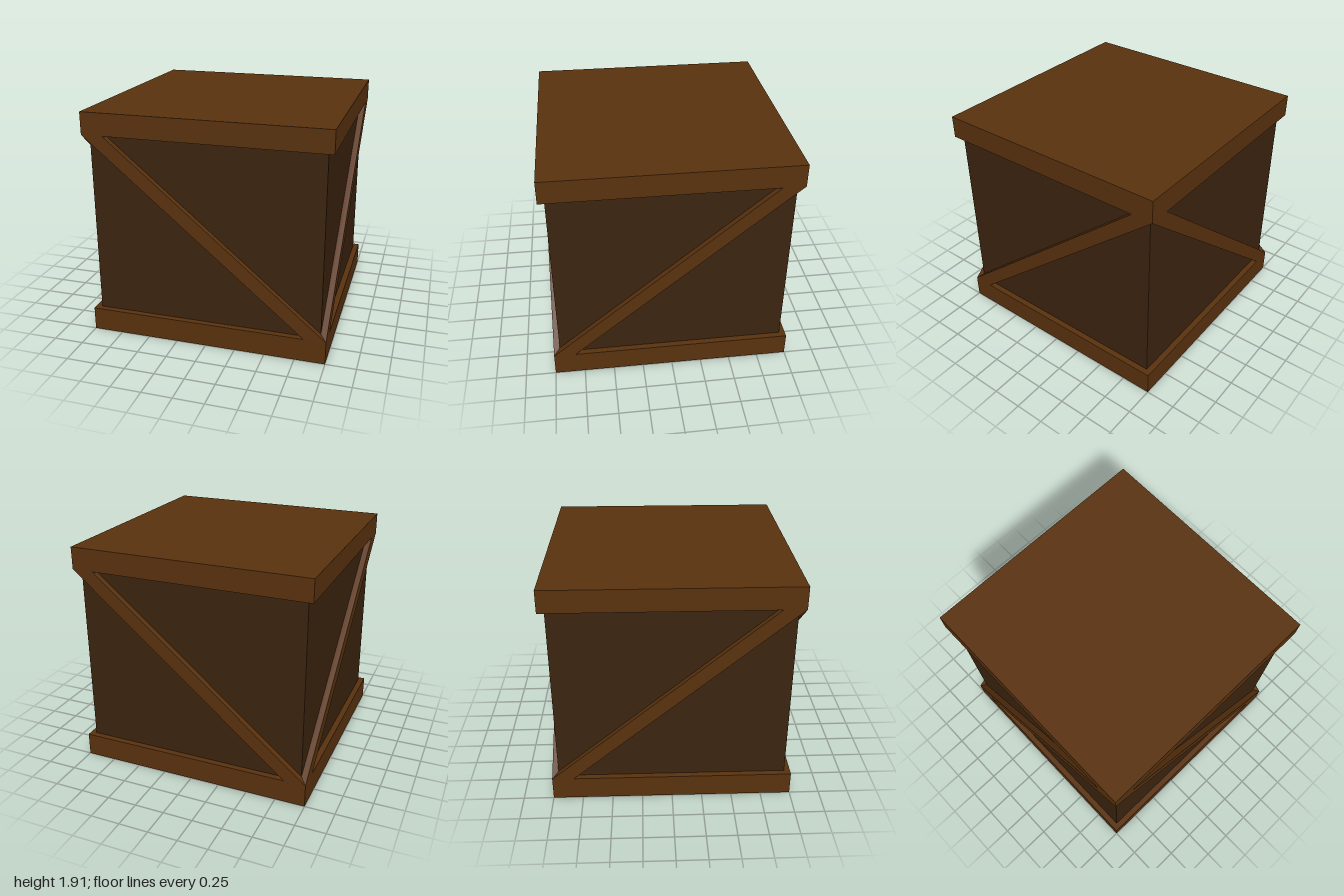
import * as THREE from 'three';

export function createModel() {
  const crate = new THREE.Group();
  crate.name = 'crate';
  const frameWood = new THREE.MeshStandardMaterial({ color: 0x5a320e });
  const panelWood = new THREE.MeshStandardMaterial({ color: 0x3c240f });

  const OUTER = 1, INNER = 0.95;              // half widths of frame and body
  const BASE_TOP = 0.2, LID_BOTTOM = 1.73, TOP = 1.915;

  function slab(name, half, y0, y1, material) {
    const mesh = new THREE.Mesh(new THREE.BoxGeometry(half * 2, y1 - y0, half * 2), material);
    mesh.name = name;
    mesh.position.y = (y0 + y1) / 2;
    crate.add(mesh);
  }

  // Base, recessed body and lid
  slab('base', OUTER, 0.005, BASE_TOP, frameWood);
  slab('body', INNER, BASE_TOP, LID_BOTTOM, panelWood);
  slab('lid', OUTER, LID_BOTTOM, TOP, frameWood);

  // Diagonal brace: a slanted board running from lid to base
  const outline = new THREE.Shape([
    new THREE.Vector2(-1, LID_BOTTOM),
    new THREE.Vector2(0.82, BASE_TOP),
    new THREE.Vector2(1, BASE_TOP),
    new THREE.Vector2(-0.82, LID_BOTTOM),
  ]);
  const braceGeometry = new THREE.ExtrudeGeometry(outline, { depth: OUTER - INNER, bevelEnabled: false });
  braceGeometry.translate(0, 0, INNER);

  // The side braces slant the other way, so neighbours meet at the corners
  const mirroredOutline = new THREE.Shape(outline.getPoints().map((p) => new THREE.Vector2(-p.x, p.y)));
  const mirroredGeometry = new THREE.ExtrudeGeometry(mirroredOutline, { depth: OUTER - INNER, bevelEnabled: false });
  mirroredGeometry.translate(0, 0, INNER);

  ['frontBrace', 'leftBrace', 'backBrace', 'rightBrace'].forEach((name, i) => {
    const brace = new THREE.Mesh(i % 2 ? mirroredGeometry : braceGeometry, frameWood);
    brace.name = name;
    brace.rotation.y = i * Math.PI / 2;
    crate.add(brace);
  });

  return crate;
}
